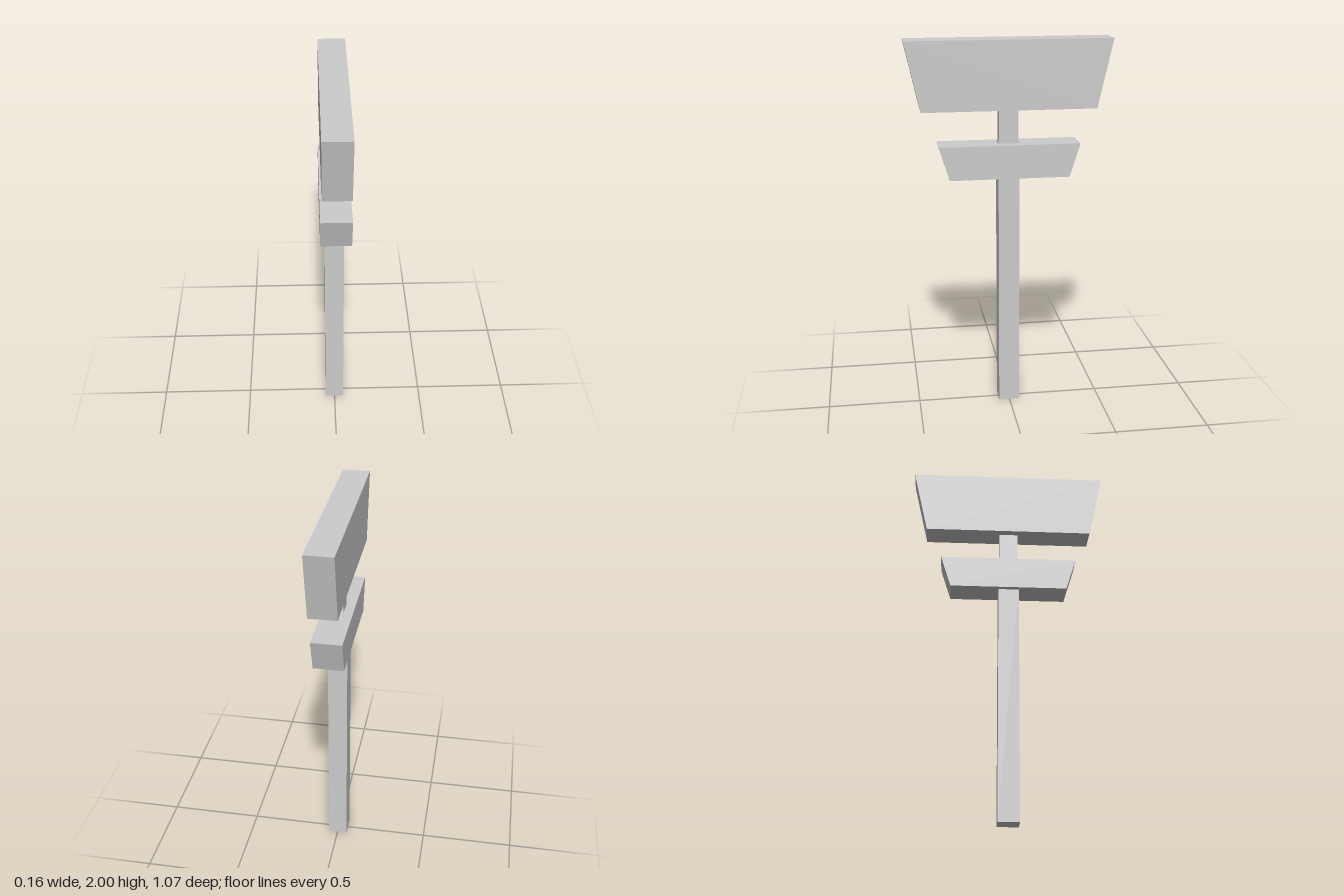
import * as THREE from 'three';

const material = new THREE.MeshStandardMaterial({ color: 0xcccccc, flatShading: true });

// Side profile given as [z, y] points, extruded to a width along x
function slab(name, profile, width, x = 0) {
  const shape = new THREE.Shape(profile.map(([z, y]) => new THREE.Vector2(z, y)));
  const geometry = new THREE.ExtrudeGeometry(shape, { depth: width, bevelEnabled: false });
  geometry.translate(0, 0, -width / 2).rotateY(-Math.PI / 2).translate(x, 0, 0);
  const mesh = new THREE.Mesh(geometry, material);
  mesh.name = name;
  return mesh;
}

// Board whose ends slope inward towards the bottom
function board(name, bottom, top, halfBottom, halfTop, width) {
  return slab(name, [[-halfBottom, bottom], [halfBottom, bottom], [halfTop, top], [-halfTop, top]], width);
}

export function createModel() {
  const group = new THREE.Group();
  group.name = 'signPost';

  // Square post
  const post = new THREE.Mesh(new THREE.BoxGeometry(0.103, 1.285, 0.111), material);
  post.name = 'post';
  post.position.set(-0.001, 0.6425, 0.002);
  group.add(post);

  // Small lower board and large upper board
  group.add(board('lowerBoard', 1.285, 1.462, 0.315, 0.37, 0.158));
  group.add(board('upperBoard', 1.642, 2, 0.455, 0.534, 0.144));

  // Thin neck between the boards, slightly flared at its foot
  group.add(slab('neck', [
    [-0.055, 1.462], [0.058, 1.462], [0.052, 1.478], [0.052, 1.642], [-0.049, 1.642], [-0.049, 1.478],
  ], 0.058, -0.001));

  return group;
}
